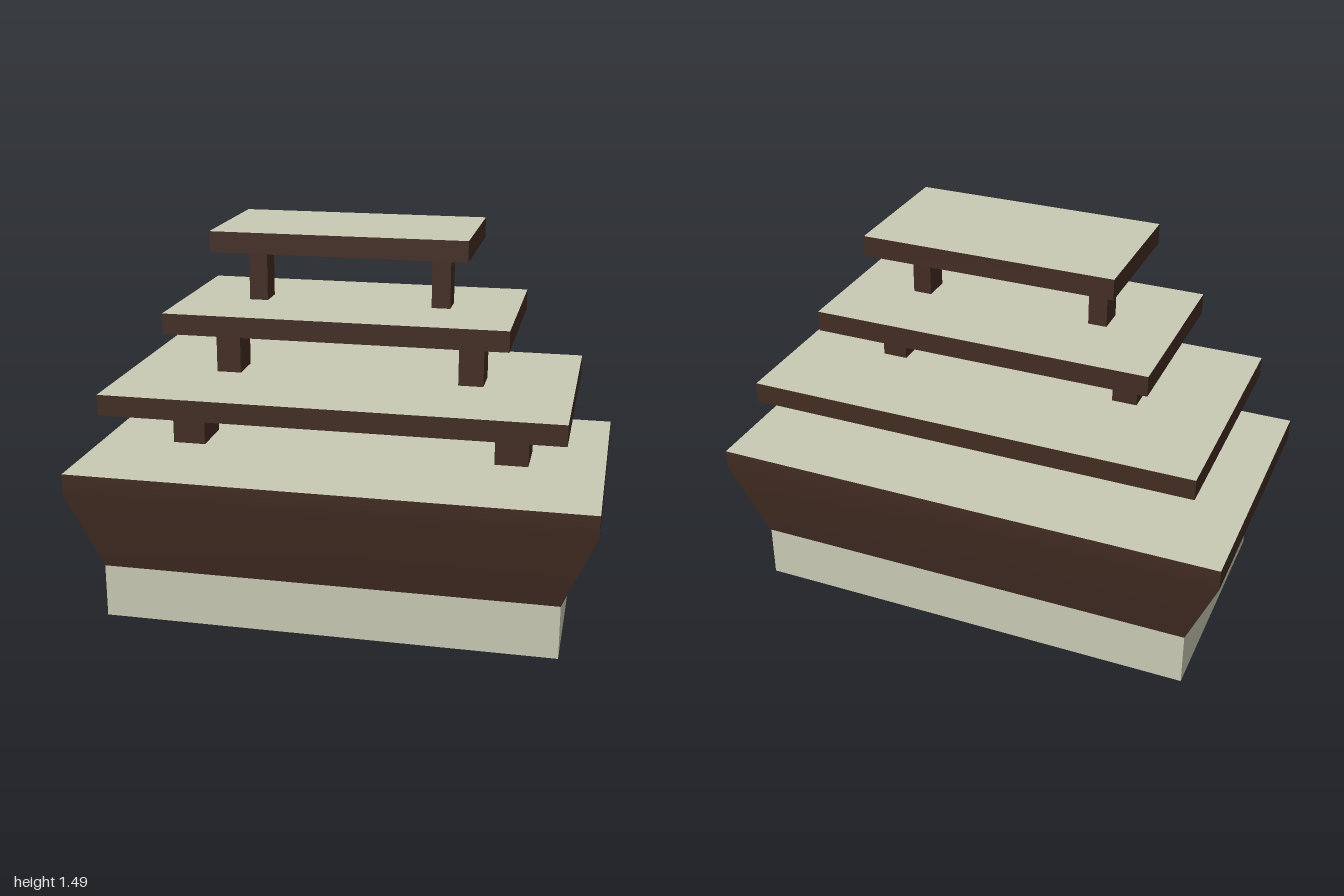
import * as THREE from 'three';

export function createModel() {
  const model = new THREE.Group();
  model.name = 'tieredStand';

  const wood = new THREE.MeshStandardMaterial({ color: 0x432d23 });
  wood.name = 'dark brown';
  const cream = new THREE.MeshStandardMaterial({ color: 0xc9cab4 });
  cream.name = 'pale cream';

  // box face order: +x, -x, top, bottom, +z, -z
  const creamTop = [wood, wood, cream, wood, wood, wood];
  const creamSides = [cream, cream, wood, wood, cream, cream];

  function add(name, geometry, material, x, y) {
    const mesh = new THREE.Mesh(geometry, material);
    mesh.name = name;
    mesh.position.set(x, y, 0);
    model.add(mesh);
  }

  // straight plinth with a dark underside
  add('plinth', new THREE.BoxGeometry(1.75, 0.21, 0.944), creamSides, 0, 0.105);

  // flared body: three levels, narrow at the foot, upright at the rim
  const body = new THREE.BoxGeometry(2, 2, 1.08, 1, 2, 1);
  const p = body.attributes.position;
  for (let i = 0; i < p.count; i++) {
    const level = Math.round(p.getY(i));
    p.setY(i, level < 0 ? 0.21 : level > 0 ? 0.6 : 0.52);
    if (level < 0) {
      p.setX(i, Math.sign(p.getX(i)) * 0.875);
      p.setZ(i, Math.sign(p.getZ(i)) * 0.472);
    }
  }
  body.computeVertexNormals();
  add('flaredBody', body, creamTop, 0, 0);

  // each tier: a slab carried by a left and a right post
  const tiers = [
    { name: 'lower', floor: 0.6, base: 0.82, top: 0.9, w: 1.74, d: 0.94, postX: 0.645, postW: 0.13, postD: 0.188 },
    { name: 'middle', floor: 0.9, base: 1.115, top: 1.193, w: 1.29, d: 0.694, postX: 0.478, postW: 0.096, postD: 0.138 },
    { name: 'upper', floor: 1.193, base: 1.413, top: 1.491, w: 0.96, d: 0.518, postX: 0.355, postW: 0.071, postD: 0.102 },
  ];
  for (const t of tiers) {
    add(t.name + 'Slab', new THREE.BoxGeometry(t.w, t.top - t.base, t.d), creamTop, 0, (t.top + t.base) / 2);
    for (const side of [-1, 1]) {
      const post = new THREE.BoxGeometry(t.postW, t.base - t.floor, t.postD);
      add(t.name + (side > 0 ? 'LeftPost' : 'RightPost'), post, wood, side * t.postX, (t.base + t.floor) / 2);
    }
  }

  return model;
}
